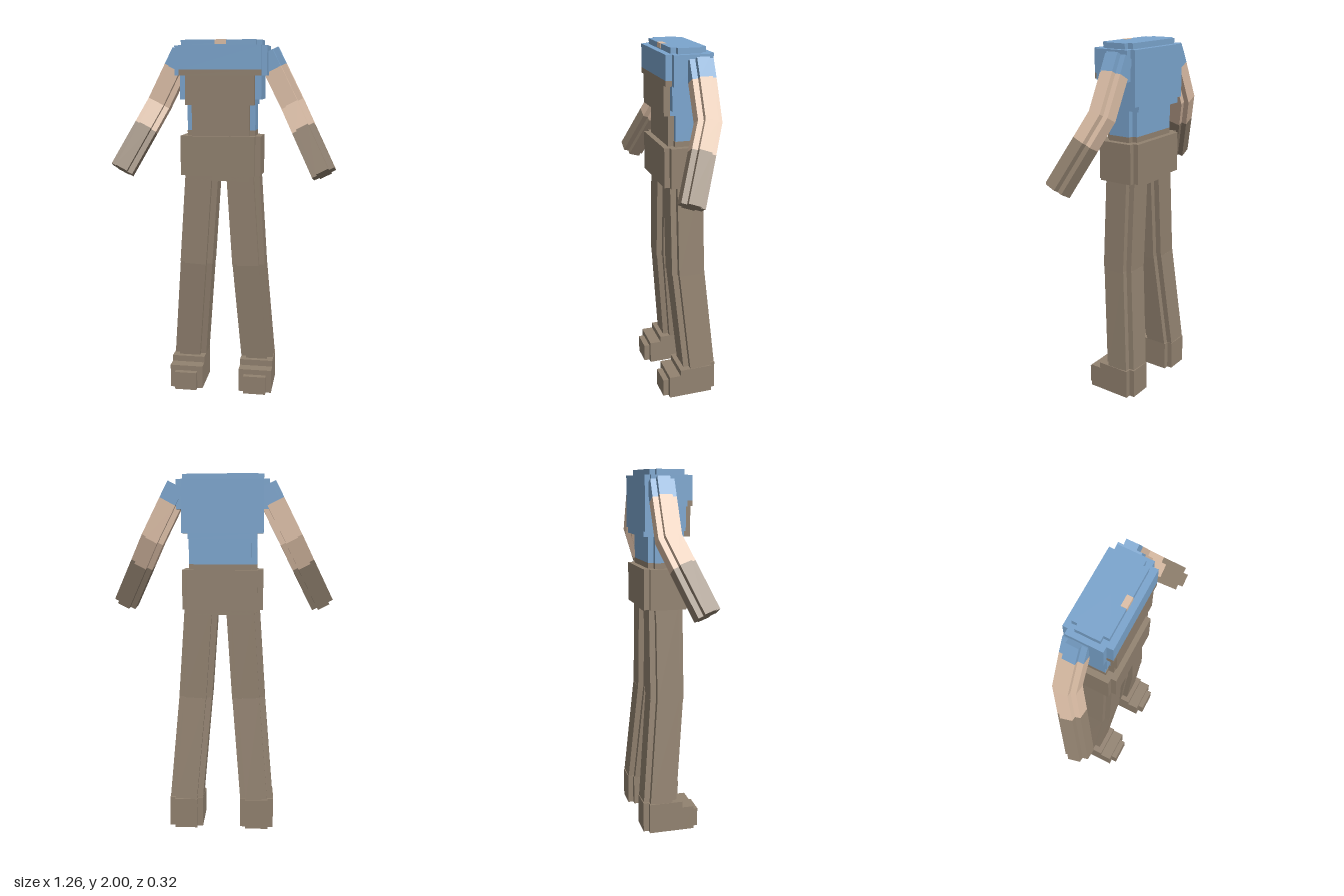
import * as THREE from 'three';

const mat = (name, color) => {
  const m = new THREE.MeshStandardMaterial({ color });
  m.name = name;
  return m;
};

// Rectangle with stepped corners, as points in (u, v)
function notched(w, d, n) {
  const a = w - n, b = d - n;
  return [[w, -b], [w, b], [a, b], [a, d], [-a, d], [-a, b],
    [-w, b], [-w, -b], [-a, -b], [-a, -d], [a, -d], [a, -b]];
}

// Flat-shaded limb: the section is carried through rings listed top to bottom
function loft(section, rings) {
  const pos = [], index = [], n = section.length;
  for (const { c, u, v } of rings) {
    for (const [p, q] of section) {
      pos.push(...c.map((k, i) => k + u[i] * p + v[i] * q));
    }
  }
  for (let r = 0; r < rings.length - 1; r++) {
    for (let i = 0; i < n; i++) {
      const a = r * n + i, b = r * n + (i + 1) % n;
      index.push(a, b, b + n, a, b + n, a + n);
    }
  }
  // end caps fan out from the ring centres
  const top = pos.length / 3, last = (rings.length - 1) * n;
  pos.push(...rings[0].c, ...rings[rings.length - 1].c);
  for (let i = 0; i < n; i++) {
    const j = (i + 1) % n;
    index.push(top, j, i, top + 1, last + i, last + j);
  }
  const g = new THREE.BufferGeometry();
  g.setAttribute('position', new THREE.Float32BufferAttribute(pos, 3));
  g.setIndex(index);
  const flat = g.toNonIndexed();
  flat.computeVertexNormals();
  return flat;
}

export function createModel() {
  const blue = mat('shirtBlue', 0x7ba5ce);
  const brown = mat('clothBrown', 0x928270);
  const skin = mat('skin', 0xdec0a8);
  const model = new THREE.Group();
  model.name = 'figure';

  const add = (parent, name, geometry, material) => {
    const m = new THREE.Mesh(geometry, material);
    m.name = name;
    parent.add(m);
    return m;
  };
  const group = (name, x) => {
    const g = new THREE.Group();
    g.name = name;
    g.position.x = x;
    model.add(g);
    return g;
  };
  // Box from half width and y and z ranges, optionally off centre in x
  const box = (parent, name, material, hw, y0, y1, z0, z1, x = 0) =>
    add(parent, name, new THREE.BoxGeometry(hw * 2, y1 - y0, z1 - z0), material)
      .position.set(x, (y0 + y1) / 2, (z0 + z1) / 2);
  // Upright block with stepped corners
  const block = (parent, name, material, hw, y0, y1, z0, z1, n = 0.03) => {
    const ring = (y) => ({ c: [0, y, (z0 + z1) / 2], u: [1, 0, 0], v: [0, 0, 1] });
    add(parent, name, loft(notched(hw, (z1 - z0) / 2, n), [ring(y1), ring(y0)]), material);
  };

  // Torso
  const torso = group('torso', -0.01);
  block(torso, 'collar', blue, 0.225, 1.97, 2.0, -0.105, 0.085);
  box(torso, 'neckPatch', skin, 0.032, 1.975, 2.001, 0.055, 0.087);
  box(torso, 'shoulders', blue, 0.255, 1.81, 1.97, -0.11, 0.085);
  box(torso, 'chestCore', blue, 0.225, 1.68, 1.81, -0.11, 0.085);
  box(torso, 'chestBase', blue, 0.19, 1.65, 1.68, -0.11, 0.085);
  box(torso, 'upperBack', blue, 0.225, 1.68, 1.97, -0.137, -0.11);
  box(torso, 'lowerBack', blue, 0.19, 1.65, 1.68, -0.137, -0.11);
  box(torso, 'chestYoke', blue, 0.225, 1.84, 1.97, 0.085, 0.12);
  box(torso, 'bibTop', brown, 0.225, 1.81, 1.84, 0.085, 0.12);
  box(torso, 'bib', brown, 0.19, 1.65, 1.81, 0.085, 0.12);

  // Waist and pelvis
  box(torso, 'waistSides', blue, 0.19, 1.51, 1.65, -0.075, 0.055);
  box(torso, 'waistBack', blue, 0.16, 1.51, 1.65, -0.105, -0.075);
  box(torso, 'waistFront', brown, 0.16, 1.51, 1.65, 0.055, 0.088);
  block(torso, 'waistband', brown, 0.19, 1.48, 1.51, -0.105, 0.088);
  block(torso, 'pelvis', brown, 0.225, 1.26, 1.48, -0.137, 0.12);
  block(torso, 'crotch', brown, 0.19, 1.23, 1.26, -0.105, 0.085);

  for (const s of [-1, 1]) {
    const side = s > 0 ? 'left' : 'right';

    // Leg: thigh and shin meet at a slightly stepped knee
    const leg = group(side + 'Leg', -0.005);
    const legRing = (x, y, z, tilt = 0) =>
      ({ c: [s * x, y, z], u: [1, s * 0.05, 0], v: [0, tilt, 1] });
    const legSection = notched(0.094, 0.095, 0.032);
    add(leg, side + 'Thigh', loft(legSection,
      [legRing(0.117, 1.265, -0.01), legRing(0.152, 0.745, -0.01)]), brown);
    add(leg, side + 'Shin', loft(notched(0.093, 0.094, 0.032),
      [legRing(0.152, 0.75, -0.012, -0.05), legRing(0.201, 0.165, -0.063, -0.08)]), brown);

    // Stepped boot
    const boot = (name, hw, y1, z0, z1) => box(leg, side + name, brown, hw, 0, y1, z0, z1, s * 0.202);
    boot('BootBody', 0.095, 0.17, -0.13, 0.06);
    boot('BootHeel', 0.064, 0.17, -0.16, -0.13);
    boot('BootInstep', 0.095, 0.135, 0.06, 0.125);
    boot('BootToe', 0.064, 0.105, 0.125, 0.157);

    // Arm: sleeve, bare arm bent at the elbow, glove
    const arm = group(side + 'Arm', -0.003);
    const armRing = (x, y, z, bend) => ({
      c: [s * x, y, z],
      u: [0.889, s * 0.458, 0],
      v: [-0.16 * s * bend, 0.315 * bend, 1 - 0.065 * bend * bend],
    });
    const shoulder = armRing(0.237, 1.935, -0.053, 0);
    const sleeveEnd = armRing(0.283, 1.845, -0.053, 0);
    const elbow = armRing(0.382, 1.65, -0.05, 0.5);
    const cuff = armRing(0.45, 1.515, 0.005, 1);
    const fingertips = armRing(0.568, 1.283, 0.1, 1);
    const armSection = notched(0.066, 0.064, 0.03);
    add(arm, side + 'Sleeve', loft(armSection, [shoulder, sleeveEnd]), blue);
    add(arm, side + 'BareArm', loft(armSection, [sleeveEnd, elbow, cuff]), skin);
    add(arm, side + 'Glove', loft(armSection, [cuff, fingertips]), brown);
  }
  return model;
}
